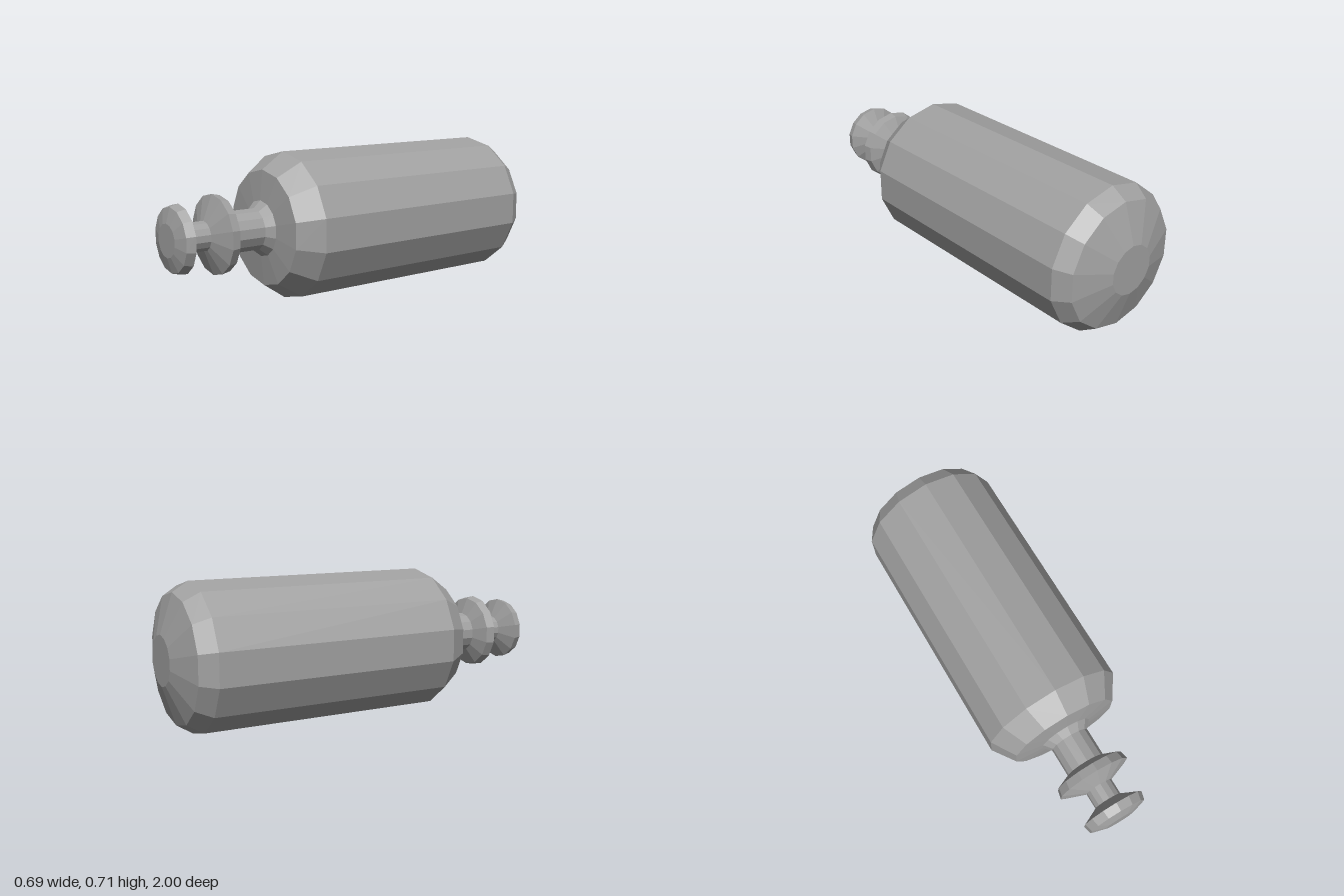
import * as THREE from 'three';

const SIDES = 14;
const AXIS_HEIGHT = 0.356;

export function createModel() {
  const model = new THREE.Group();
  model.name = 'bottle';
  const grey = new THREE.MeshStandardMaterial({ color: 0xa0a0a0 });
  grey.name = 'grey';

  // Faceted turned part lying along z; profile is [radius, z] from back to front
  function turned(name, profile) {
    const points = profile.map(([r, z]) => new THREE.Vector2(r, z));
    const geometry = new THREE.LatheGeometry(points, SIDES).rotateX(Math.PI / 2).toNonIndexed();
    geometry.computeVertexNormals();
    const mesh = new THREE.Mesh(geometry, grey);
    mesh.name = name;
    mesh.position.y = AXIS_HEIGHT;
    model.add(mesh);
  }

  // Large barrel with chamfered ends
  turned('body', [[0, -1], [0.12, -1], [0.308, -0.938], [0.356, -0.86],
    [0.356, 0.382], [0.278, 0.497], [0.134, 0.511]]);
  // Flared neck
  turned('neck', [[0.134, 0.511], [0.1, 0.548], [0.1, 0.694]]);
  // Wide ring between neck and stem
  turned('collar', [[0.1, 0.694], [0.179, 0.728], [0.188, 0.77], [0.07, 0.815]]);
  // Thin stem
  turned('stem', [[0.07, 0.815], [0.07, 0.895]]);
  // End knob
  turned('knob', [[0.07, 0.895], [0.161, 0.938], [0.15, 0.98], [0.078, 1], [0, 1]]);

  return model;
}
